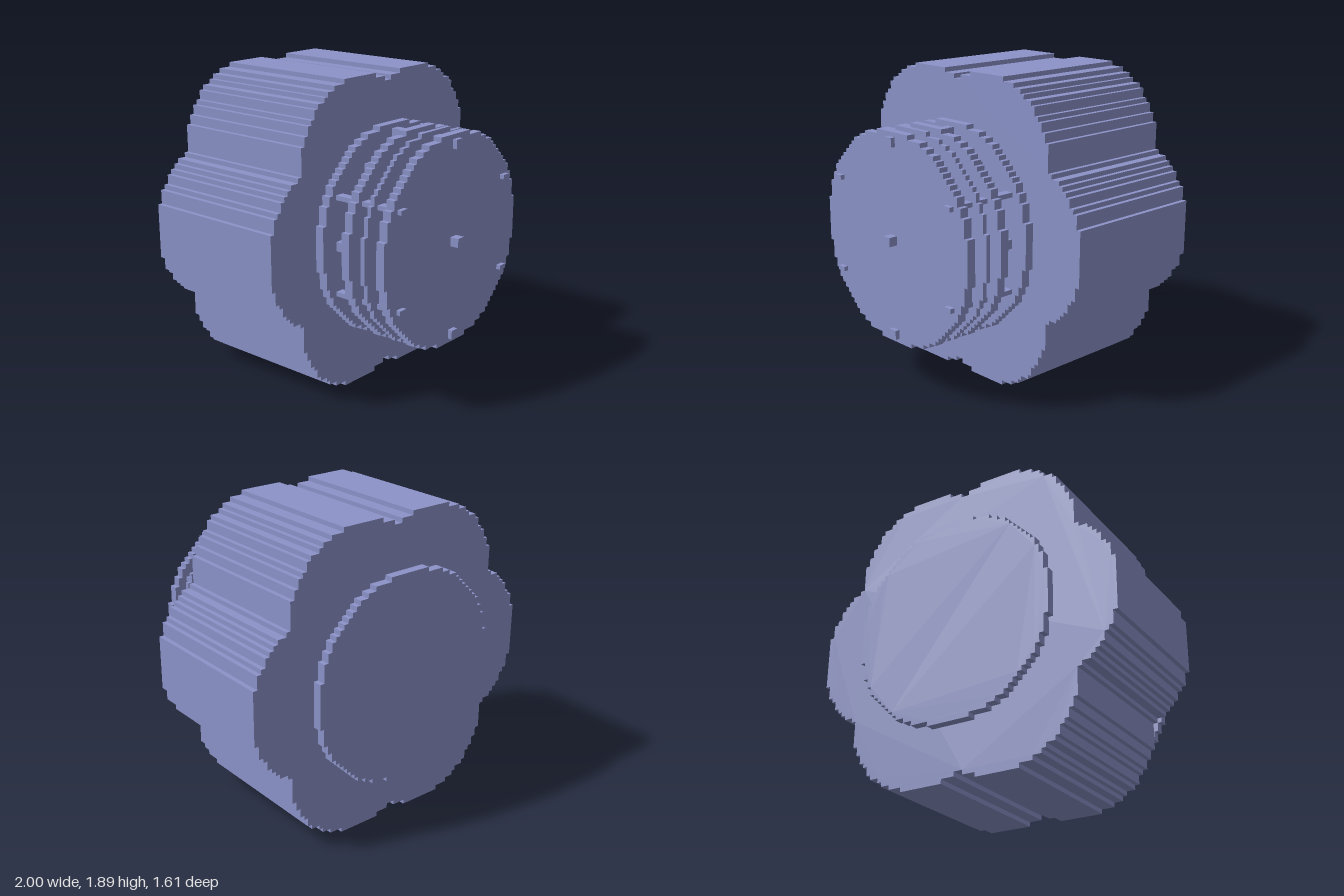
import * as THREE from 'three';

const U = 1 / 36;        // size of one grid step
const MID = 34;          // axis height in grid steps
const EPS = 1e-6;

// Stepped outline of every grid cell touched by the circles [cx, cy, r]
function steppedShape(circles) {
  const xs = circles.flatMap(([cx, , r]) => [cx - r, cx + r]);
  const x0 = Math.floor(Math.min(...xs) + EPS), x1 = Math.ceil(Math.max(...xs) - EPS);
  const upper = [], lower = [];
  const add = (list, x, y) => {
    const n = list.length;
    if (n && list[n - 1].y === y) list[n - 1].b = x + 1;
    else list.push({ a: x, b: x + 1, y });
  };
  for (let x = x0; x < x1; x++) {
    let lo = Infinity, hi = -Infinity;
    for (const [cx, cy, r] of circles) {
      const dx = Math.min(Math.max(cx, x), x + 1) - cx;
      if (Math.abs(dx) >= r - EPS) continue;
      const h = Math.sqrt(r * r - dx * dx);
      lo = Math.min(lo, Math.floor(cy - h + EPS));
      hi = Math.max(hi, Math.ceil(cy + h - EPS));
    }
    add(upper, x, hi);
    add(lower, x, lo);
  }
  const points = [];
  for (const s of lower) points.push([s.a, s.y], [s.b, s.y]);
  for (const s of upper.reverse()) points.push([s.b, s.y], [s.a, s.y]);
  return new THREE.Shape(points.map(([x, y]) => new THREE.Vector2(x * U, (y + MID) * U)));
}

export function createModel() {
  const group = new THREE.Group();
  const blue = new THREE.MeshStandardMaterial({ color: 0x8c93c9 });
  blue.name = 'periwinkle';

  // Stepped prism between z0 and z1 (grid steps)
  const prism = (name, circles, z0, z1) => {
    const geometry = new THREE.ExtrudeGeometry(steppedShape(circles), { depth: (z1 - z0) * U, bevelEnabled: false });
    geometry.translate(0, 0, z0 * U);
    const mesh = new THREE.Mesh(geometry, blue);
    mesh.name = name;
    group.add(mesh);
  };
  const ring = (radius, offset, r) => Array.from({ length: 6 }, (_, i) => {
    const a = offset + i * Math.PI / 3;
    return [radius * Math.cos(a), radius * Math.sin(a), r];
  });

  // Six-lobed drum
  prism('drum', ring(18, 0, 18), -25, 9);

  // Round plates in front and behind
  const disc = [[0, 0, 22.5]];
  prism('backPlate', disc, -29, -27);
  for (const [z0, z1] of [[9, 11], [16, 18], [21, 22], [25, 27]]) prism('frontPlate', disc, z0, z1);

  // Spacers holding the back plate
  for (const c of ring(18, 0, 2.3)) prism('backSpacer', [c], -27, -25);
  prism('backHub', [[0, 0, 1.5]], -27, -25);

  // Posts tying the front plates together, and short shafts from each lobe
  for (const c of ring(12 * Math.sqrt(3), Math.PI / 6, 0.3)) prism('post', [c], 9, 28);
  for (const c of ring(18, 0, 0.3)) prism('lobeShaft', [c], 11, 16);

  // Central axle and its collars
  prism('axle', [[0, 0, 0.9]], 9, 29);
  for (const [z0, z1] of [[11, 12], [13, 15], [20, 21], [22, 23]]) prism('axleCollar', [[0, 0, 1.8]], z0, z1);

  // Side shaft with collars
  prism('sideShaft', [[9, 0, 0.9]], 18, 25);
  for (const [z0, z1] of [[18, 19], [24, 25]]) prism('sideCollar', [[9, 0, 1.8]], z0, z1);

  // Small knob behind the second plate
  prism('knob', [[4.5, 5.5, 2.3]], 14, 16);
  return group;
}
